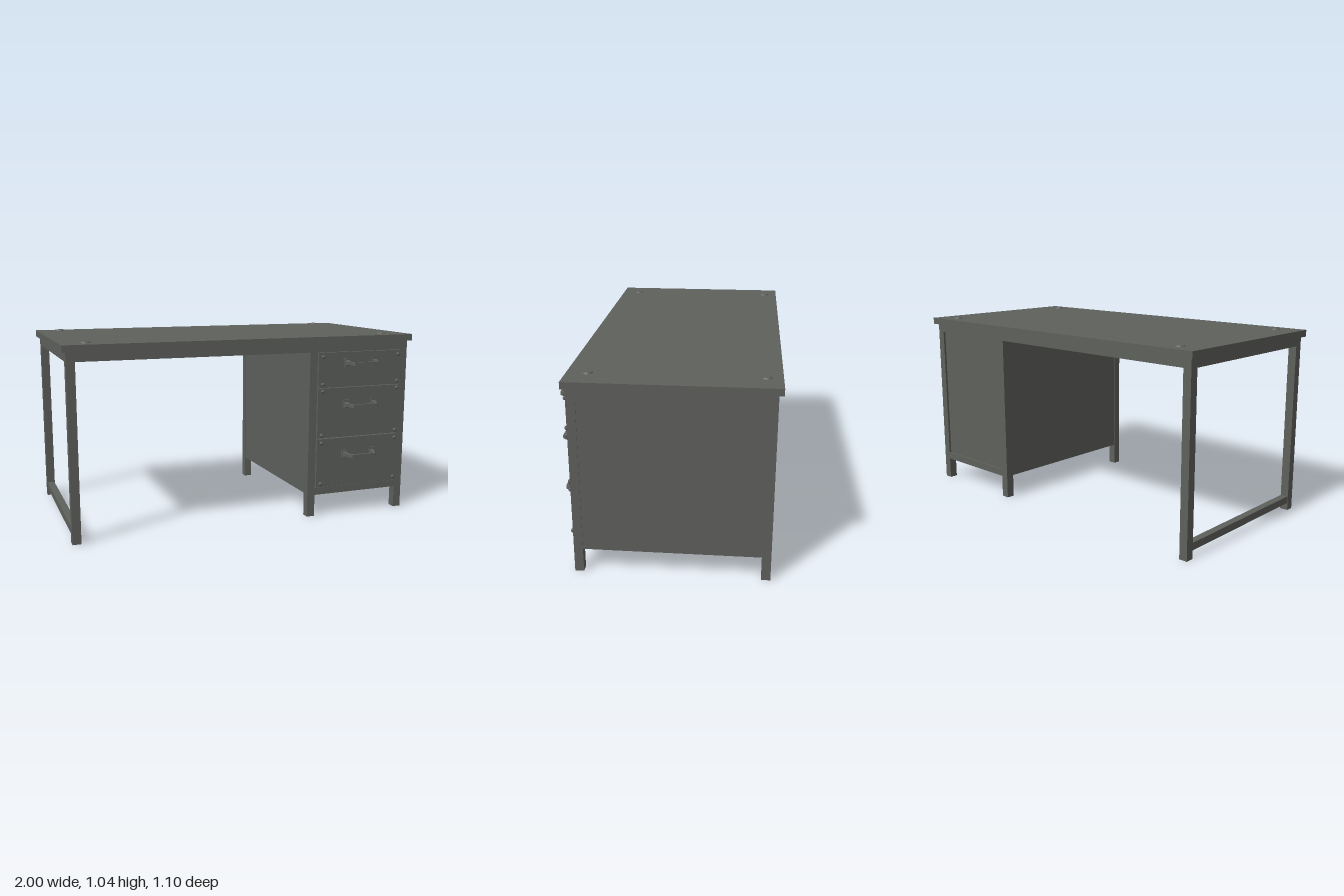
import * as THREE from 'three';

export function createModel() {
  const desk = new THREE.Group();
  desk.name = 'desk';
  const steel = new THREE.MeshStandardMaterial({ color: 0x5e605c });
  steel.name = 'grey steel';

  const add = (name, geometry, x = 0, y = 0, z = 0, parent = desk) => {
    const mesh = new THREE.Mesh(geometry, steel);
    mesh.name = name;
    mesh.position.set(x, y, z);
    parent.add(mesh);
    return mesh;
  };
  // Box given by its limits on each axis
  const box = (name, [x0, x1], [y0, y1], [z0, z1]) =>
    add(name, new THREE.BoxGeometry(x1 - x0, y1 - y0, z1 - z0),
      (x0 + x1) / 2, (y0 + y1) / 2, (z0 + z1) / 2);

  const front = [0.422, 0.468], back = [-0.527, -0.481];
  const legs = { left: [0.934, 0.98], middle: [0.36, 0.406], right: [-0.98, -0.934] };
  const between = [-0.481, 0.422];

  // Worktop with four low round caps
  box('worktop', [-1, 1], [0.994, 1.031], [-0.55, 0.486]);
  for (const x of [-0.866, 0.855])
    for (const z of [-0.47, 0.383])
      add('worktopCap', new THREE.CylinderGeometry(0.022, 0.027, 0.007, 20), x, 1.0345, z);

  // Square tube legs and top rails
  for (const [side, x] of Object.entries(legs)) {
    box(side + 'FrontLeg', x, [0, 0.945], front);
    box(side + 'BackLeg', x, [0, 0.945], back);
    box(side + 'TopRail', x, [0.945, 0.994], between);
  }
  box('frontTopRail', [-0.98, 0.98], [0.945, 0.994], front);
  box('backTopRail', [-0.98, 0.98], [0.945, 0.994], back);
  box('footRail', [-0.977, -0.937], [0.042, 0.082], between);

  // Drawer cabinet
  const inner = [0.406, 0.934];
  box('cabinetFrontRail', inner, [0.125, 0.165], front);
  box('cabinetBackRail', inner, [0.125, 0.165], back);
  box('cabinetOuterPanel', [0.94, 0.976], [0.128, 0.945], between);
  box('cabinetInnerPanel', [0.364, 0.4], [0.128, 0.945], between);
  box('cabinetBackPanel', inner, [0.165, 0.945], [-0.515, -0.49]);
  box('cabinetFloor', [0.4, 0.94], [0.128, 0.15], between);
  box('cabinetFace', inner, [0.165, 0.945], [0.43, 0.455]);

  // Bowed pull bar, drawn in plan and extruded upwards
  const plan = new THREE.Shape([
    [-0.093, 0], [-0.086, 0.05], [-0.074, 0.064], [0.074, 0.064], [0.086, 0.05], [0.093, 0],
    [0.076, 0], [0.071, 0.044], [0.064, 0.051], [-0.064, 0.051], [-0.071, 0.044], [-0.076, 0],
  ].map(([x, z]) => new THREE.Vector2(x, -z)));
  const bar = new THREE.ExtrudeGeometry(plan, { depth: 0.018, bevelEnabled: false });
  bar.translate(0, 0, -0.009).rotateX(-Math.PI / 2);
  // Flared foot between the plate and the bar
  const foot = new THREE.CylinderGeometry(0.012, 0.024, 0.032, 4, 1).rotateY(Math.PI / 4)
    .rotateX(Math.PI / 2).scale(0.75, 1, 1).toNonIndexed();
  foot.computeVertexNormals();
  // Domed rivet pointing forwards
  const rivet = new THREE.LatheGeometry([[0.006, 0], [0.006, 0.006], [0.011, 0.008],
    [0.011, 0.014], [0.007, 0.019], [0, 0.021]].map(p => new THREE.Vector2(...p)), 12)
    .rotateX(Math.PI / 2);

  // Three drawers: bottom, top, handle height, rivet heights
  const drawers = [
    ['upper', 0.746, 0.942, 0.88, [0.765, 0.919]],
    ['middle', 0.456, 0.741, 0.643, [0.475, 0.725]],
    ['lower', 0.168, 0.451, 0.355, [0.193, 0.43]],
  ];
  for (const [name, y0, y1, handleY, rivetYs] of drawers) {
    box(name + 'DrawerFront', [0.41, 0.93], [y0, y1], [0.45, 0.475]);
    for (const x of [0.432, 0.91])
      for (const y of rivetYs) add(name + 'DrawerRivet', rivet, x, y, 0.475);

    const handle = new THREE.Group();
    handle.name = name + 'DrawerHandle';
    handle.position.set(0.672, handleY, 0.475);
    desk.add(handle);
    add('handleBar', bar, 0, 0, 0.012, handle).scale.z = 0.98;
    for (const x of [-0.088, 0.088]) {
      add('handlePlate', new THREE.BoxGeometry(0.034, 0.054, 0.008), x, 0, 0.004, handle);
      add('handleFoot', foot, x, 0, 0.02, handle);
    }
  }
  return desk;
}
